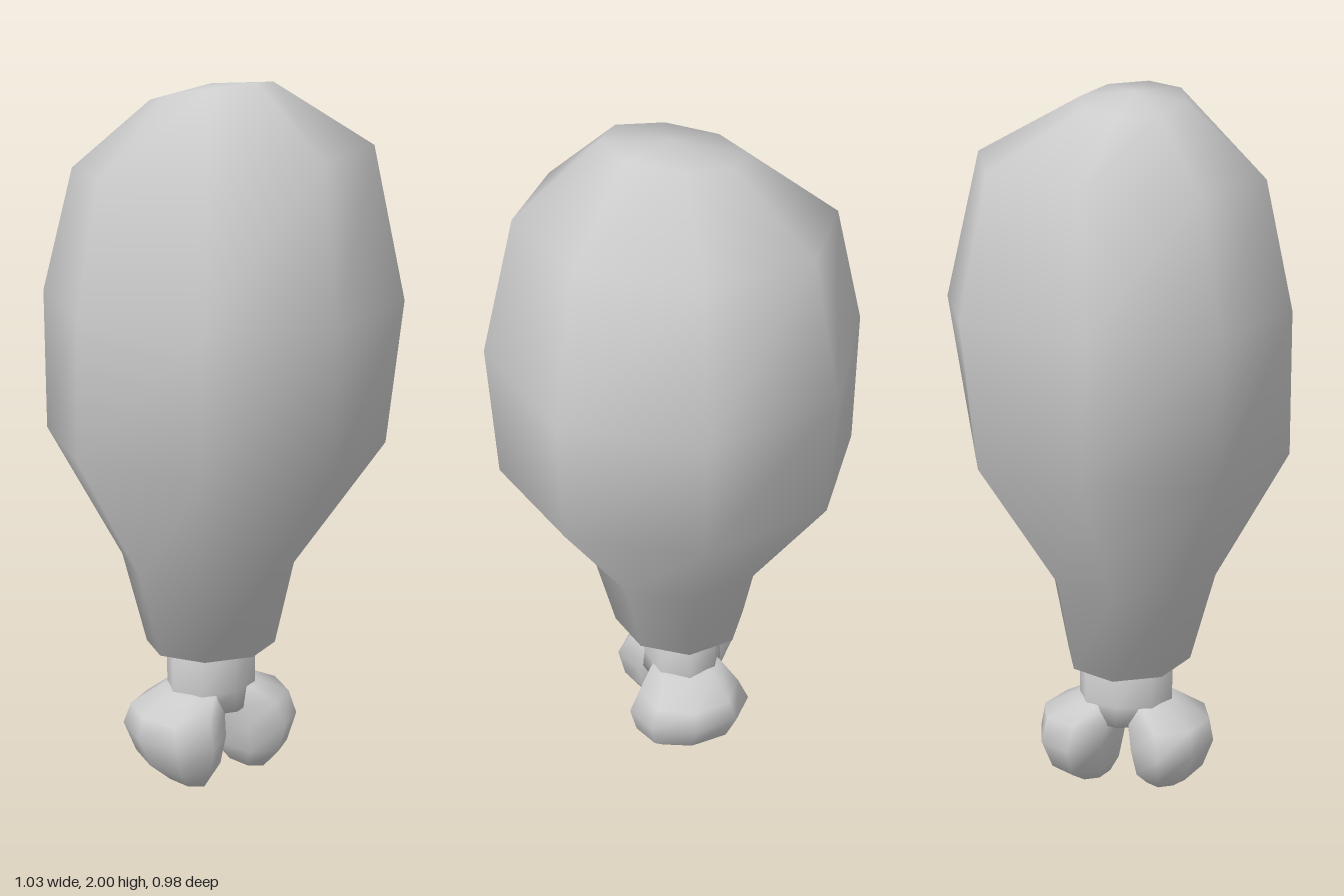
import * as THREE from 'three';

const SIDES = 8;

// Closed smooth skin over rings listed from bottom to top.
// Ring: y, x range, z range, and optional slope of the ring along x and z.
function loft(name, rings, bottomY, topY) {
  const points = [], index = [];
  const centre = (r) => [(r.x[0] + r.x[1]) / 2, r.cz ?? (r.z[0] + r.z[1]) / 2];
  for (const r of rings) {
    const [cx, cz] = centre(r);
    for (let i = 0; i < SIDES; i++) {
      const a = (i / SIDES) * Math.PI * 2;
      const c = Math.cos(a), s = Math.sin(a);
      const x = cx + c * (r.x[1] - cx);
      const z = cz + s * (s > 0 ? r.z[1] - cz : cz - r.z[0]);
      points.push(x, r.y + (r.sx ?? 0) * x + (r.sz ?? 0) * z, z);
    }
  }
  for (let k = 0; k < rings.length - 1; k++) {
    for (let i = 0; i < SIDES; i++) {
      const a = k * SIDES + i, b = k * SIDES + (i + 1) % SIDES;
      index.push(a, a + SIDES, b, b, a + SIDES, b + SIDES);
    }
  }
  // End caps
  const low = rings.length * SIDES, high = low + 1, last = low - SIDES;
  const [bx, bz] = centre(rings[0]), [tx, tz] = centre(rings[rings.length - 1]);
  points.push(bx, bottomY, bz, tx, topY, tz);
  for (let i = 0; i < SIDES; i++) {
    const j = (i + 1) % SIDES;
    index.push(low, i, j, high, last + j, last + i);
  }
  const geometry = new THREE.BufferGeometry();
  geometry.setAttribute('position', new THREE.Float32BufferAttribute(points, 3));
  geometry.setIndex(index);
  geometry.computeVertexNormals();
  const mesh = new THREE.Mesh(geometry, new THREE.MeshStandardMaterial({ color: 0xcccccc }));
  mesh.name = name;
  return mesh;
}

export function createModel() {
  const model = new THREE.Group();
  model.name = 'drumstick';

  // Plump meat, narrow at the bone and tilted at the crown
  model.add(loft('meat', [
    { y: 0.395, x: [-0.21, 0.18], z: [-0.14, 0.22], sx: 0.07 },
    { y: 0.65, x: [-0.27, 0.24], z: [-0.19, 0.29] },
    { y: 1.015, x: [-0.51, 0.495], z: [-0.425, 0.49] },
    { y: 1.41, x: [-0.513, 0.513], z: [-0.49, 0.487], cz: 0.04 },
    { y: 1.79, x: [-0.425, 0.42], z: [-0.39, 0.41], sx: 0.06, sz: -0.07 },
    { y: 1.967, x: [-0.19, 0.19], z: [-0.1, 0.19], sx: 0.18, sz: -0.03 },
  ], 0.385, 1.985));

  // Bone shaft
  model.add(loft('boneShaft', [
    { y: 0.21, x: [-0.14, 0.1], z: [-0.11, 0.175] },
    { y: 0.27, x: [-0.14, 0.095], z: [-0.105, 0.17] },
    { y: 0.45, x: [-0.14, 0.095], z: [-0.105, 0.17] },
  ], 0.21, 0.45));

  // Two knuckles, mirrored about the cleft at z = 0.035
  const knuckle = [
    { y: 0.01, x: [-0.09, 0.09], z: [0.09, 0.2], sx: -0.06 },
    { y: 0.065, x: [-0.17, 0.14], z: [0.06, 0.26] },
    { y: 0.15, x: [-0.205, 0.16], z: [0.042, 0.292] },
    { y: 0.215, x: [-0.175, 0.13], z: [0.03, 0.28] },
    { y: 0.265, x: [-0.125, 0.085], z: [0.03, 0.18] },
  ];
  model.add(loft('frontKnuckle', knuckle, 0, 0.28));
  model.add(loft('backKnuckle',
    knuckle.map((r) => ({ ...r, z: [0.07 - r.z[1], 0.07 - r.z[0]] })), 0, 0.28));

  return model;
}
